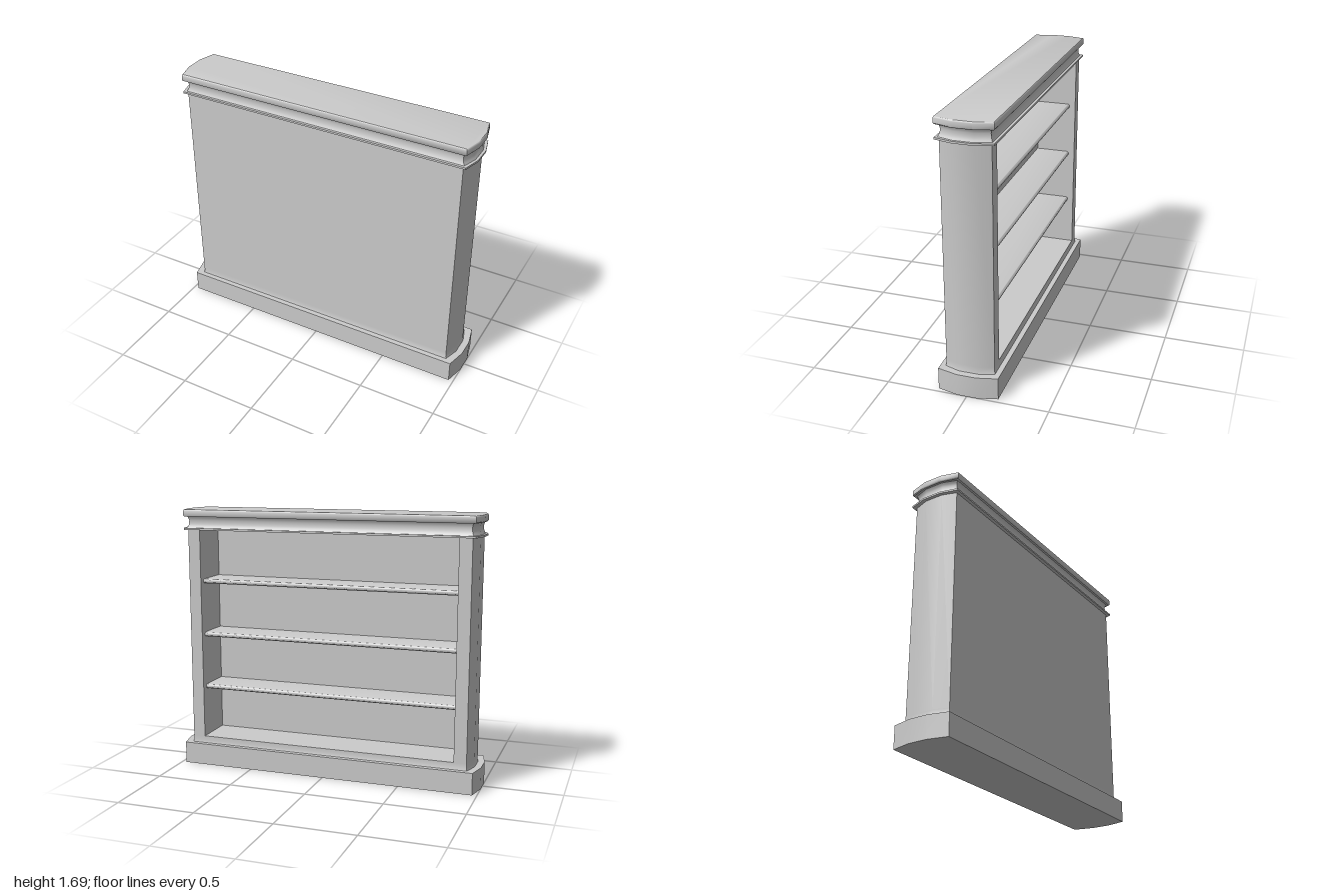
import * as THREE from 'three';
import { toCreasedNormals } from 'three/addons/utils/BufferGeometryUtils.js';

const material = new THREE.MeshStandardMaterial({ color: 0xcccccc });
const CREASE = Math.PI / 4.5;

// Plan outline with bowed ends, widened by dx and dz; corners as [x, -z], anticlockwise
function plan(dx, dz) {
  const cx = 0.925 + dx, mx = 0.955 + dx, hz = 0.15 + dz, mz = 0.06;
  return [[cx, -hz], [mx, -mz], [mx, mz], [cx, hz], [-cx, hz], [-mx, mz], [-mx, -mz], [-cx, -hz]];
}

// Moulding: stacks the plan outline along a profile of [y, dx, dz]
function moulding(profile) {
  const pos = [], index = [], n = 8;
  for (const [y, dx, dz] of profile) for (const [x, w] of plan(dx, dz)) pos.push(x, y, -w);
  const last = (profile.length - 1) * n;
  for (let r = 0; r < last; r += n) {
    for (let i = 0; i < n; i++) {
      const j = (i + 1) % n;
      index.push(r + i, r + j, r + n + j, r + i, r + n + j, r + n + i);
    }
  }
  for (let i = 1; i < n - 1; i++) {
    index.push(0, i + 1, i);
    index.push(last, last + i, last + i + 1);
  }
  const g = new THREE.BufferGeometry();
  g.setAttribute('position', new THREE.Float32BufferAttribute(pos, 3));
  g.setIndex(index);
  return toCreasedNormals(g, CREASE);
}

export function createModel() {
  const group = new THREE.Group();
  const add = (name, geometry) => {
    const mesh = new THREE.Mesh(geometry, material);
    mesh.name = name;
    group.add(mesh);
    return mesh;
  };

  // Plinth with a low kerb that forms the cabinet floor
  add('plinth', moulding([
    [0, 0.045, 0.036], [0.14, 0.045, 0.036],
    [0.14, 0.004, 0.004], [0.155, 0, 0], [0.185, 0, 0],
  ]));

  // Cabinet: U-shaped plan, closed at the front and open at the back
  const floorY = 0.185, topY = 1.56, innerX = 0.845, innerZ = 0.12;
  const [a, b, c, d, e, f, g, h] = plan(0, 0);
  const outline = [a, b, c, d, [innerX, 0.15], [innerX, -innerZ],
    [-innerX, -innerZ], [-innerX, 0.15], e, f, g, h];
  const cabinetShape = new THREE.Shape(outline.map(([x, y]) => new THREE.Vector2(x, y)));
  const cabinet = new THREE.ExtrudeGeometry(cabinetShape, { depth: topY - floorY, bevelEnabled: false });
  cabinet.rotateX(-Math.PI / 2).translate(0, floorY, 0);
  add('cabinetWalls', toCreasedNormals(cabinet, CREASE));

  // Cornice: thin lip, hollow neck and rounded top slab
  add('corniceLip', moulding([[1.56, 0.021, 0.021], [1.572, 0.021, 0.021]]));
  add('corniceNeck', moulding([
    [1.57, 0.006, 0.006], [1.582, 0, 0], [1.597, -0.005, -0.005],
    [1.62, -0.006, -0.006], [1.635, -0.002, -0.002], [1.648, 0.006, 0.006],
  ]));
  add('topSlab', moulding([
    [1.645, 0.016, 0.018], [1.651, 0.021, 0.023], [1.68, 0.021, 0.023],
    [1.687, 0.019, 0.021], [1.69, 0.016, 0.018],
  ]));

  // Shelves with a rounded nose towards the open back
  const t = 0.03, noseZ = -0.11;
  const section = new THREE.Shape();
  section.moveTo(-innerZ, 0);
  section.lineTo(-noseZ - t / 2, 0);
  section.absarc(-noseZ - t / 2, t / 2, t / 2, -Math.PI / 2, Math.PI / 2, false);
  section.lineTo(-innerZ, t);
  const shelf = new THREE.ExtrudeGeometry(section, {
    depth: innerX * 2, bevelEnabled: false, curveSegments: 6,
  });
  shelf.translate(0, 0, -innerX).rotateY(Math.PI / 2);
  const shelfGeometry = toCreasedNormals(shelf, CREASE);
  for (let i = 0; i < 3; i++) add('shelf' + (i + 1), shelfGeometry).position.y = 0.503 + i * 0.353;

  return group;
}
